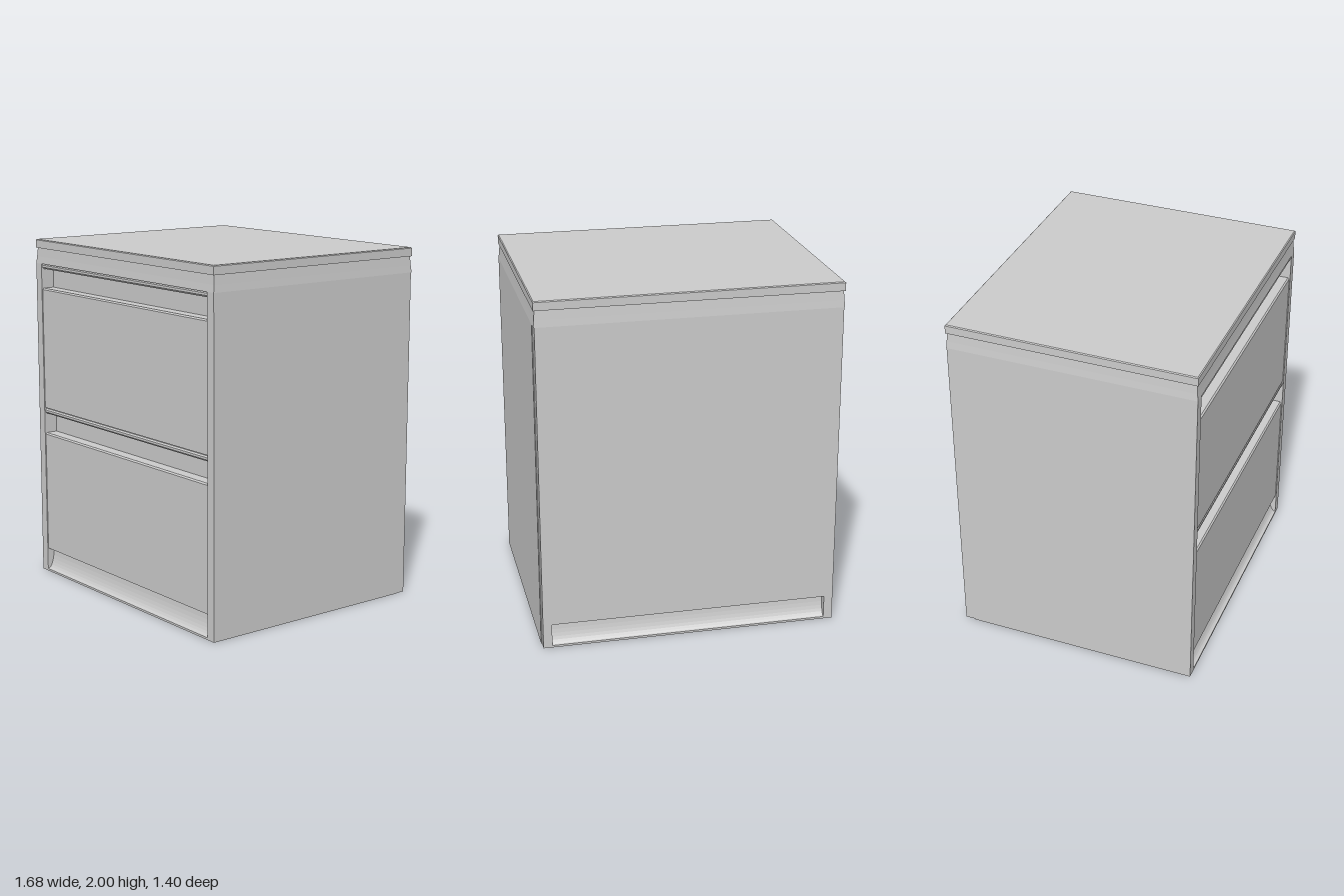
import * as THREE from 'three';

const material = new THREE.MeshStandardMaterial({ color: 0xcccccc, roughness: 0.8 });

function add(parent, name, geometry) {
  const mesh = new THREE.Mesh(geometry, material);
  mesh.name = name;
  parent.add(mesh);
  return mesh;
}

// Box given by its lower and upper corners
function box(parent, name, [x0, y0, z0], [x1, y1, z1]) {
  const g = new THREE.BoxGeometry(x1 - x0, y1 - y0, z1 - z0);
  g.translate((x0 + x1) / 2, (y0 + y1) / 2, (z0 + z1) / 2);
  return add(parent, name, g);
}

// Side profile of [z, y] points, swept across the width
function sweepX(parent, name, points, width) {
  const shape = new THREE.Shape(points.map(([z, y]) => new THREE.Vector2(z, y)));
  const g = new THREE.ExtrudeGeometry(shape, { depth: width, bevelEnabled: false });
  g.translate(0, 0, -width / 2);
  g.rotateY(-Math.PI / 2);
  return add(parent, name, g);
}

// Horizontal band whose lower and upper edges may be inset
function band(parent, name, y0, y1, insetLow, insetHigh) {
  const g = new THREE.BoxGeometry(2, 1, 2);
  const p = g.attributes.position;
  for (let i = 0; i < p.count; i++) {
    const high = p.getY(i) > 0;
    const inset = high ? insetHigh : insetLow;
    p.setXYZ(i, p.getX(i) * (W - inset), high ? y1 : y0, p.getZ(i) * (D - inset));
  }
  g.computeVertexNormals();
  return add(parent, name, g);
}

const W = 0.84, D = 0.7;      // half width and half depth
const IN = 0.785;             // half width between the side panels
const BODY = 1.86;            // height of the carcass

export function createModel() {
  const cabinet = new THREE.Group();
  cabinet.name = 'cabinet';

  // Carcass, side panels and slightly inset back corner posts
  box(cabinet, 'carcass', [-IN, 0, -0.64], [IN, BODY, 0.62]);
  for (const s of [-1, 1]) {
    const xs = (a, b) => (s > 0 ? [a, b] : [-b, -a]);
    const [a, b] = xs(IN, W);
    box(cabinet, 'sidePanel', [a, 0, -0.64], [b, BODY, D]);
    const [c, d] = xs(IN, W - 0.005);
    box(cabinet, 'backPost', [c, 0, -D], [d, BODY, -0.64]);
  }
  box(cabinet, 'backPanel', [-IN, 0.14, -D], [IN, BODY, -0.63]);

  // Coved plinths at front and back
  const cove = [[0.6, 0], [D, 0]];
  for (let i = 0; i <= 8; i++) {
    const a = (i / 8) * Math.PI / 2;
    cove.push([D - 0.045 * Math.sin(a), 0.012 + 0.128 * (1 - Math.cos(a))]);
  }
  cove.push([0.6, 0.14]);
  sweepX(cabinet, 'frontPlinth', cove, 2 * IN);
  sweepX(cabinet, 'backPlinth', cove, 2 * IN).rotation.y = Math.PI;

  // Two drawers, each with a finger recess and a rail above it
  for (const [bottom, top, rail, end] of [[0.14, 0.853, 0.97, 1.0], [1.006, 1.717, 1.83, BODY]]) {
    const drawer = new THREE.Group();
    drawer.name = 'drawer';
    cabinet.add(drawer);
    const f = 0.695;
    sweepX(drawer, 'drawerFront', [
      [0.6, bottom], [f, bottom], [f, top - 0.008], [f - 0.008, top], [0.6, top],
    ], 2 * IN);
    sweepX(drawer, 'drawerRail', [
      [0.6, rail], [f - 0.01, rail], [f, rail + 0.01], [f, end - 0.008], [f - 0.008, end], [0.6, end],
    ], 2 * IN);
  }

  // Moulded top: lower lip, shallow neck and slab
  band(cabinet, 'topLip', BODY, 1.9, 0, 0.004);
  band(cabinet, 'topNeck', 1.9, 1.95, 0.004, 0.008);
  band(cabinet, 'topSlab', 1.95, 1.995, 0, 0);
  band(cabinet, 'topEdge', 1.995, 2, 0, 0.005);

  return cabinet;
}
